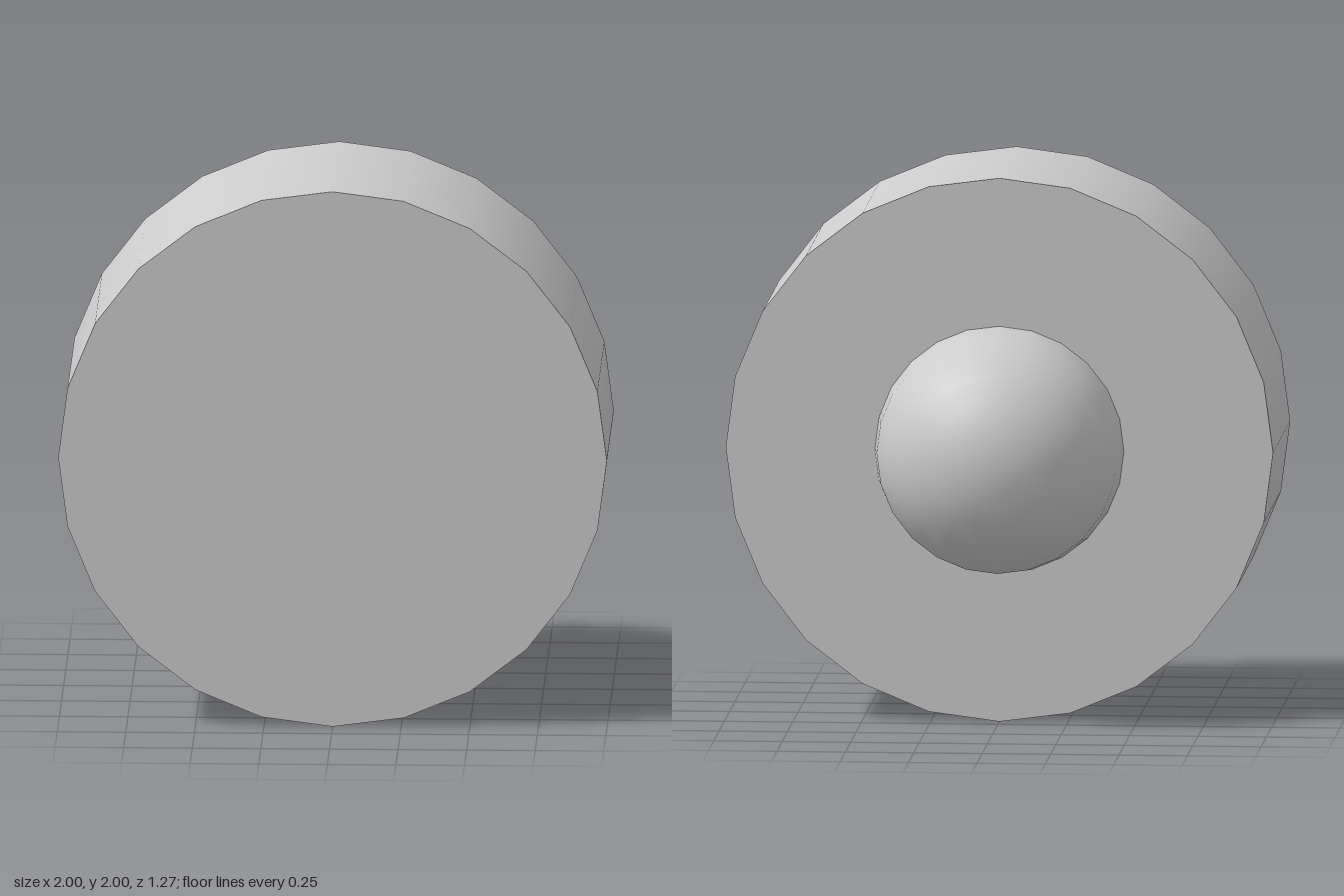
import * as THREE from 'three';

export function createModel() {
  const group = new THREE.Group();
  const grey = new THREE.MeshStandardMaterial({ color: 0xcccccc });
  grey.name = 'light grey';

  const radius = 1, backZ = -0.18, frontZ = 0.635, domeRadius = 0.455;

  // Thick round disc with its axis running front to back
  const disc = new THREE.Mesh(
    new THREE.CylinderGeometry(radius, radius, frontZ - backZ, 24).rotateX(Math.PI / 2),
    grey
  );
  disc.name = 'disc';
  disc.position.set(0, radius, (frontZ + backZ) / 2);
  group.add(disc);

  // Half-sphere knob on the back face, pole pointing backwards
  const knob = new THREE.Mesh(
    new THREE.SphereGeometry(domeRadius, 24, 6, 0, Math.PI * 2, 0, Math.PI / 2).rotateX(-Math.PI / 2),
    grey
  );
  knob.name = 'backKnob';
  knob.position.set(0, radius, backZ);
  group.add(knob);

  return group;
}
